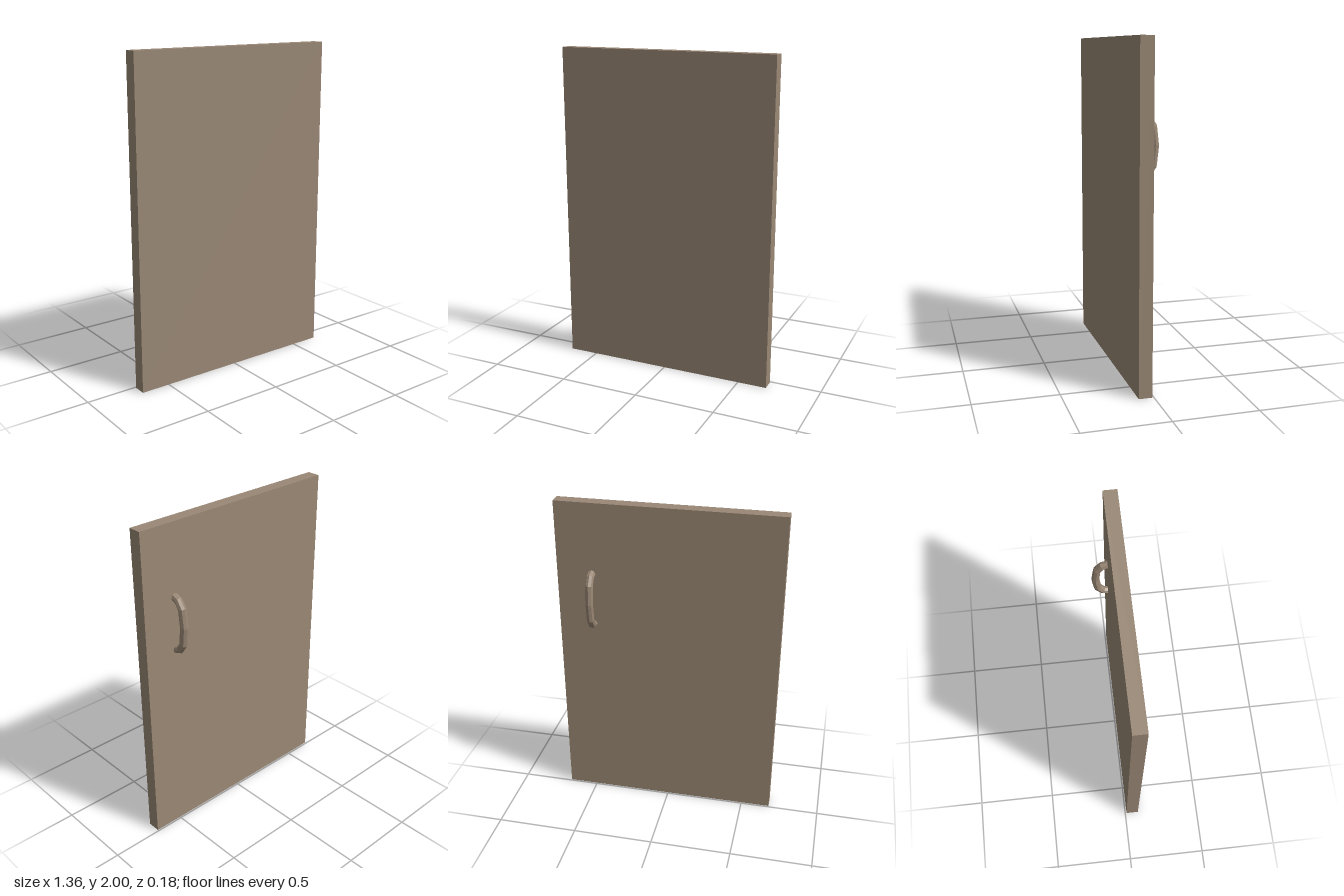
import * as THREE from 'three';

export function createModel() {
  const group = new THREE.Group();
  const wood = new THREE.MeshStandardMaterial({ color: 0x9a8875, flatShading: true });

  // Plain slab
  const panel = new THREE.Mesh(new THREE.BoxGeometry(1.364, 2, 0.08), wood);
  panel.name = 'doorPanel';
  panel.position.set(0, 1, 0.049);
  group.add(panel);

  // Bow handle on the back: [z, height from handle middle], mirrored top to bottom
  const half = [[0.02, 0.168], [-0.022, 0.155], [-0.053, 0.11]];
  const profile = [
    ...half,
    [-0.065, 0],
    ...half.map(([z, y]) => [z, -y]).reverse(),
  ];
  const path = new THREE.CatmullRomCurve3(profile.map(([z, y]) => new THREE.Vector3(0, y, z)));
  // Put the tube's rings exactly on the profile points
  path.getPointAt = path.getPoint;
  path.getTangentAt = path.getTangent;
  const handle = new THREE.Mesh(
    new THREE.TubeGeometry(path, profile.length - 1, 0.024, 8, false), wood);
  handle.name = 'handle';
  handle.position.set(0.468, 1.396, 0);
  group.add(handle);

  return group;
}
